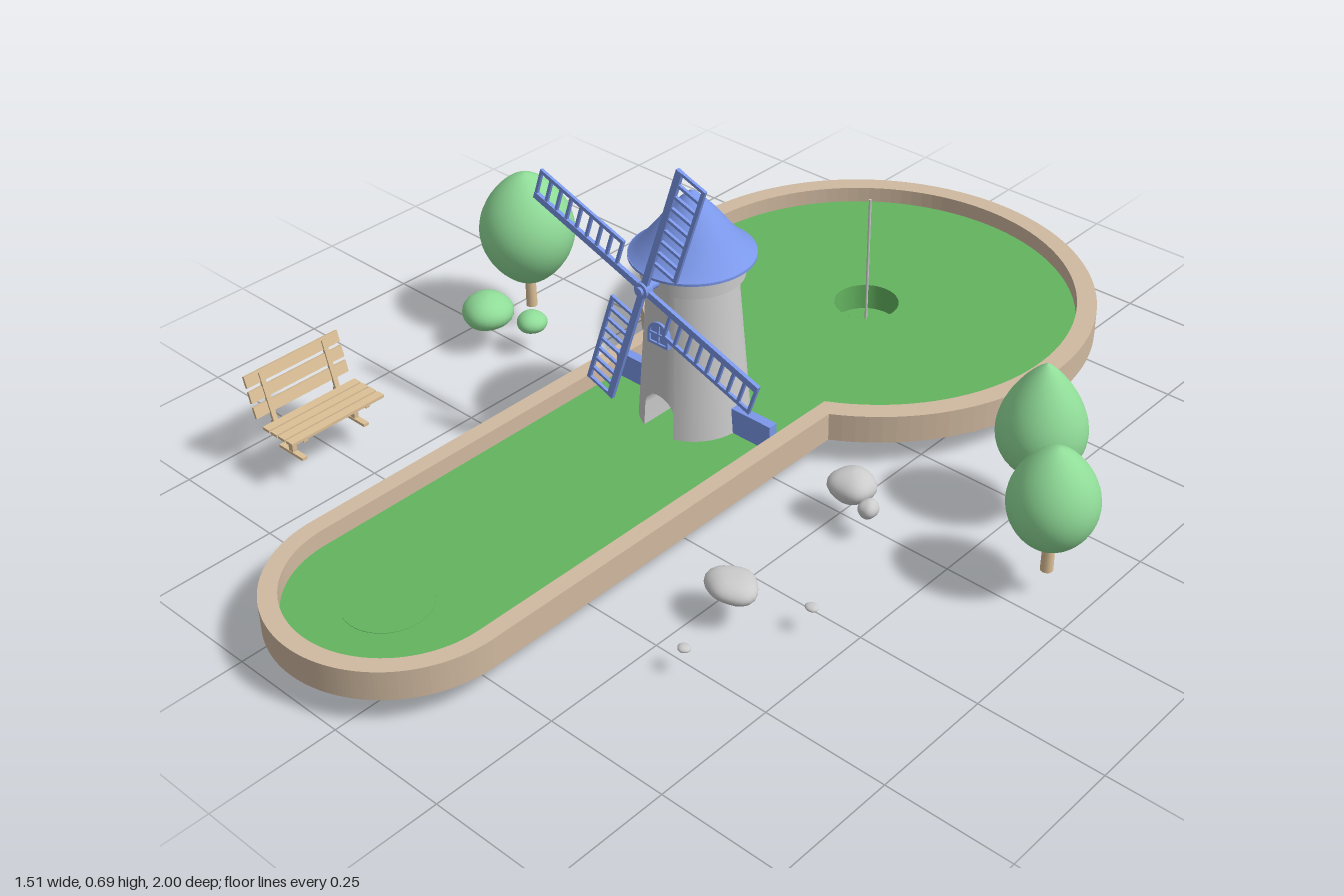
import * as THREE from 'three';

const mat = (color, side = THREE.FrontSide) => new THREE.MeshStandardMaterial({ color, side });
const GREY = mat(0xcccccc), GREY2 = mat(0xcccccc, THREE.DoubleSide);
const BLUE = mat(0x7c98ea), BLUE2 = mat(0x7c98ea, THREE.DoubleSide);
const TURF = mat(0x64b460, THREE.DoubleSide), LEAF = mat(0x90dc98), EDGE = mat(0xd0b9a0), WOOD = mat(0xdcc097);

const CX = -0.106, FLOOR = 0.08, GROUND = 0.055;

function add(parent, name, geo, material, x = 0, y = 0, z = 0) {
  const m = new THREE.Mesh(geo, material);
  m.name = name;
  m.position.set(x, y, z);
  parent.add(m);
  return m;
}
function group(parent, name, x = 0, y = 0, z = 0) {
  const g = new THREE.Group();
  g.name = name;
  g.position.set(x, y, z);
  parent.add(g);
  return g;
}
const box = (w, h, d) => new THREE.BoxGeometry(w, h, d);
const cyl = (r1, r2, h, n = 32) => new THREE.CylinderGeometry(r1, r2, h, n);
const lathe = (pts, n = 48) => new THREE.LatheGeometry(pts.map(p => new THREE.Vector2(...p)), n);

// Quad strip between two rows of points
function loft(a, b, closed) {
  const n = a.length, index = [];
  for (let i = 0; i < (closed ? n : n - 1); i++) {
    const j = (i + 1) % n;
    index.push(i, j, n + j, i, n + j, n + i);
  }
  const g = new THREE.BufferGeometry();
  g.setAttribute('position', new THREE.Float32BufferAttribute([...a, ...b].flat(), 3));
  g.setIndex(index);
  g.computeVertexNormals();
  return g;
}

// Keyhole outline: straight lane with a round end, opening into a circular green
function outline(R, w, C = THREE.Shape) {
  const s = new C(), zj = Math.sqrt(R * R - w * w), a = Math.atan2(zj, w);
  s.moveTo(w, zj - 0.522);
  s.lineTo(w, 0.763);
  s.absarc(0, 0.763, w, 0, Math.PI, false);
  s.lineTo(-w, zj - 0.522);
  s.absarc(0, -0.522, R, Math.PI - a, Math.PI * 2 + a, false);
  return s;
}

function buildCourse(root) {
  const g = group(root, 'course', CX);
  const border = outline(0.478, 0.237);
  border.holes.push(outline(0.437, 0.203, THREE.Path));
  add(g, 'border', new THREE.ExtrudeGeometry(border, { depth: 0.06, bevelEnabled: false, curveSegments: 48 })
    .rotateX(Math.PI / 2), EDGE, 0, 0.115);

  const turf = outline(0.438, 0.204);
  turf.holes.push(new THREE.Path().absarc(0, -0.52, 0.068, 0, Math.PI * 2, true));
  // mirrored in z by the turn, so flip the outline to face up
  add(g, 'turf', new THREE.ShapeGeometry(turf, 48).rotateX(Math.PI / 2), TURF, 0, FLOOR);
  add(g, 'teeMat', cyl(0.082, 0.082, FLOOR + 0.001, 40), TURF, 0, (FLOOR + 0.001) / 2, 0.79);
  add(g, 'holeWall', new THREE.CylinderGeometry(0.068, 0.068, FLOOR - 0.022, 40, 1, true), TURF, 0, (FLOOR + 0.022) / 2, -0.52);
  add(g, 'holeBottom', new THREE.CircleGeometry(0.068, 40).rotateX(-Math.PI / 2), TURF, 0, 0.022, -0.52);
  add(g, 'pole', cyl(0.003, 0.003, 0.303, 10), GREY, 0, 0.1745, -0.52);
}

function buildWindmill(root) {
  const g = group(root, 'windmill', CX, 0, 0.015);
  const TOP = 0.4;
  const radius = y => 0.109 - (y - FLOOR) * 0.072;
  const on = ([t, y]) => [radius(y) * Math.sin(t), y, radius(y) * Math.cos(t)];

  // Doorway arch as (angle, height) pairs
  const arch = [[-0.36, FLOOR]];
  for (let i = 0; i <= 16; i++) {
    const p = Math.PI * (1 - i / 16);
    arch.push([0.36 * Math.cos(p), 0.128 + 0.038 * Math.sin(p)]);
  }
  arch.push([0.36, FLOOR]);

  // Tower wall with a doorway at the front and at the back
  const cols = [];
  for (const turn of [0, Math.PI]) {
    for (const [t, y] of arch) cols.push([t + turn, y]);
    for (let i = 1; i < 20; i++) cols.push([turn + 0.36 + (Math.PI - 0.72) * i / 20, FLOOR]);
  }
  add(g, 'towerWall', loft(cols.map(on), cols.map(([t]) => on([t, TOP])), true), GREY2);
  add(g, 'tunnel', loft(arch.map(on), arch.map(([t, y]) => on([Math.PI - t, y])), false), GREY2);
  add(g, 'foundation', cyl(0.13, 0.13, 0.004, 40), GREY, 0, FLOOR - 0.004);
  add(g, 'towerCollar', cyl(0.1, 0.1, 0.042, 48), GREY, 0, 0.414);

  // Roof
  add(g, 'eave', cyl(0.122, 0.122, 0.005, 48), BLUE, 0, 0.4355);
  add(g, 'roof', lathe([[0.122, 0.437], [0.104, 0.45], [0.078, 0.482], [0.05, 0.519],
    [0.022, 0.55], [0.008, 0.563], [0, 0.567]]), BLUE2);

  // Side barriers
  for (const s of [-1, 1]) add(g, 'barrier', box(0.105, 0.06, 0.02), BLUE, s * 0.149, 0.105, 0);

  // Arched window
  const w = group(g, 'window', 0, 0.275, 0.084);
  w.rotation.x = -0.07;
  const archShape = (r, y0, C) => {
    const s = new C();
    s.moveTo(-r, y0);
    s.lineTo(r, y0);
    s.absarc(0, 0.022, r, 0, Math.PI, false);
    s.lineTo(-r, y0);
    return s;
  };
  const frame = archShape(0.026, 0, THREE.Shape);
  frame.holes.push(archShape(0.021, 0.005, THREE.Path));
  const ext = (s, depth) => new THREE.ExtrudeGeometry(s, { depth, bevelEnabled: false });
  add(w, 'windowFrame', ext(frame, 0.016), BLUE);
  add(w, 'pane', ext(archShape(0.022, 0.004, THREE.Shape), 0.012), BLUE);
  add(w, 'mullion', box(0.004, 0.04, 0.005), BLUE, 0, 0.024, 0.013);
  add(w, 'transom', box(0.042, 0.004, 0.005), BLUE, 0, 0.022, 0.013);

  // Axle and four lattice sails
  add(g, 'axle', cyl(0.009, 0.009, 0.07, 16).rotateX(Math.PI / 2), BLUE, 0, 0.414, 0.112);
  const sails = group(g, 'sails', 0, 0.414, 0.132);
  add(sails, 'hub', cyl(0.016, 0.016, 0.018, 20).rotateX(Math.PI / 2), BLUE);
  for (let k = 0; k < 4; k++) {
    const s = group(sails, 'sail');
    s.rotation.z = 1.235 + k * Math.PI / 2;
    add(s, 'spar', box(0.295, 0.014, 0.008), BLUE, 0.1475, 0, 0);
    add(s, 'rail', box(0.225, 0.008, 0.006), BLUE, 0.1825, -0.06, 0);
    for (let i = 0; i < 9; i++) add(s, 'rung', box(0.006, 0.06, 0.006), BLUE, 0.073 + i * 0.0274, -0.031, 0);
  }
}

// Tree crown: swelling p sets the height of the widest part, q the bluntness
function tree(root, x, z, r, y0, y1, p, q) {
  const g = group(root, 'tree', x, 0, z);
  const pts = [];
  for (let i = 0; i <= 28; i++) {
    const t = (1 - Math.cos(Math.PI * i / 28)) / 2;
    const end = i === 0 || i === 28;
    pts.push([end ? 0 : r * Math.pow(Math.sin(Math.PI * Math.pow(t, p)), q), y0 + (y1 - y0) * t]);
  }
  add(g, 'crown', lathe(pts, 36), LEAF);
  add(g, 'trunk', cyl(0.011, 0.012, 0.08, 14), WOOD, 0, GROUND + 0.04, 0);
}

// Slightly irregular rounded lump
function lump(root, name, material, x, y, z, rx, ry, rz, wobble) {
  const geo = new THREE.SphereGeometry(1, 24, 16), P = geo.attributes.position, v = new THREE.Vector3();
  for (let i = 0; i < P.count; i++) {
    v.fromBufferAttribute(P, i);
    v.multiplyScalar(1 + wobble * Math.sin(3 * v.x + 5 * x) * Math.cos(2.5 * v.z + v.y + 7 * z));
    P.setXYZ(i, v.x * rx, v.y * ry, v.z * rz);
  }
  geo.computeVertexNormals();
  add(root, name, geo, material, x, y, z);
}

function buildBench(root) {
  const g = group(root, 'bench', -0.61, GROUND, 0.53);
  for (let i = 0; i < 4; i++) add(g, 'seatSlat', box(0.019, 0.006, 0.222), WOOD, -0.022 + i * 0.0235, 0.059 + i * 0.0005, 0);
  for (let i = 0; i < 3; i++) {
    add(g, 'backSlat', box(0.006, 0.024, 0.222), WOOD, -0.053 - i * 0.0085, 0.083 + i * 0.031, 0).rotation.z = 0.27;
  }
  for (const z of [-0.075, 0.075]) {
    add(g, 'seatRail', box(0.1, 0.007, 0.01), WOOD, 0.002, 0.052, z);
    add(g, 'backRail', box(0.006, 0.11, 0.01), WOOD, -0.054, 0.1, z).rotation.z = 0.27;
    add(g, 'leg', box(0.012, 0.05, 0.01), WOOD, 0.005, 0.026, z);
    add(g, 'foot', box(0.07, 0.006, 0.012), WOOD, 0.005, 0.003, z);
  }
}

export function createModel() {
  const root = new THREE.Group();
  root.name = 'windmillGolfHole';
  buildCourse(root);
  buildWindmill(root);
  buildBench(root);

  tree(root, -0.657, -0.07, 0.1, 0.115, 0.372, 0.97, 0.6);
  tree(root, 0.532, -0.225, 0.085, 0.107, 0.348, 0.76, 0.75);
  tree(root, 0.67, -0.06, 0.083, 0.107, 0.318, 0.9, 0.6);

  lump(root, 'bush', LEAF, -0.667, 0.088, 0.045, 0.055, 0.038, 0.055, 0.05);
  lump(root, 'bush', LEAF, -0.582, 0.075, 0, 0.032, 0.023, 0.032, 0.05);

  lump(root, 'rock', GREY, 0.28, 0.083, 0.005, 0.05, 0.03, 0.043, 0.1);
  lump(root, 'rock', GREY, 0.302, 0.076, 0.362, 0.05, 0.025, 0.042, 0.1);
  lump(root, 'smallRock', GREY, 0.337, 0.069, 0.027, 0.02, 0.018, 0.021, 0.1);
  lump(root, 'pebble', GREY, 0.428, 0.057, 0.297, 0.013, 0.006, 0.011, 0.05);
  lump(root, 'pebble', GREY, 0.335, 0.057, 0.52, 0.012, 0.006, 0.011, 0.05);
  return root;
}
